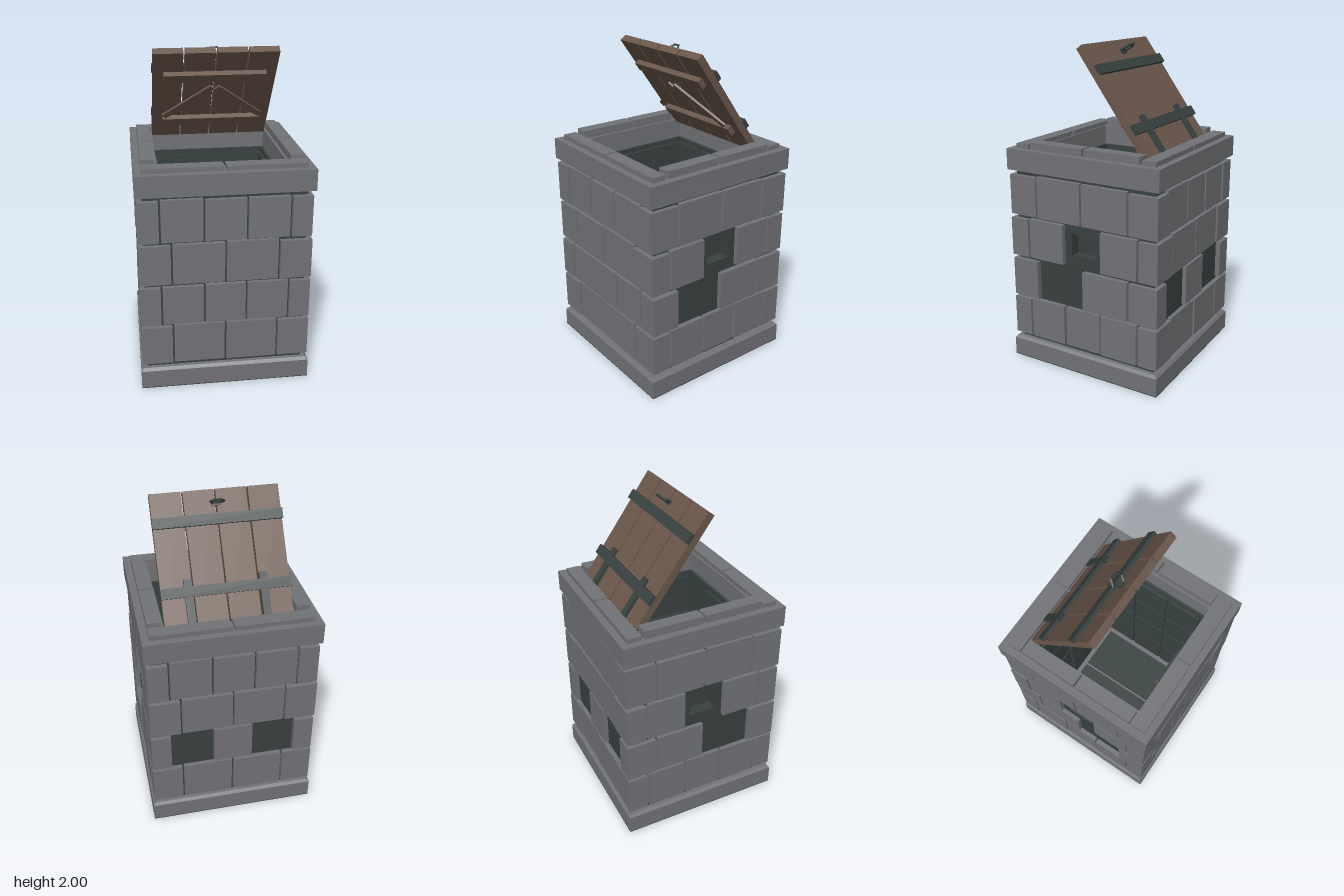
import * as THREE from 'three';

export function createModel() {
  const model = new THREE.Group();
  const material = (name, color) => {
    const m = new THREE.MeshStandardMaterial({ color, flatShading: true });
    m.name = name;
    return m;
  };
  const stone = material('grey stone', 0x727377);
  const dark = material('dark mortar and iron', 0x394141);
  const wood = material('brown wood', 0x6a574b);

  const add = (parent, name, geometry, mat) => {
    const mesh = new THREE.Mesh(geometry, mat);
    mesh.name = name;
    parent.add(mesh);
    return mesh;
  };
  // Box given by its limits on each axis
  const block = (parent, name, mat, [x0, x1], [y0, y1], [z0, z1]) => {
    const mesh = add(parent, name, new THREE.BoxGeometry(x1 - x0, y1 - y0, z1 - z0), mat);
    mesh.position.set((x0 + x1) / 2, (y0 + y1) / 2, (z0 + z1) / 2);
    return mesh;
  };
  // Square bar between two points
  const bar = (parent, name, mat, a, b, width, depth) => {
    const from = new THREE.Vector3(...a), to = new THREE.Vector3(...b);
    const mesh = add(parent, name, new THREE.BoxGeometry(width, depth, from.distanceTo(to)), mat);
    mesh.position.copy(from).add(to).multiplyScalar(0.5);
    const m = new THREE.Matrix4().lookAt(to, from, new THREE.Vector3(0, 1, 0));
    mesh.quaternion.setFromRotationMatrix(m);
    return mesh;
  };
  let seed = 7;
  const jitter = () => {
    seed = (seed * 16807) % 2147483647;
    return (seed / 2147483647 - 0.5) * 0.008;
  };

  // Base slab with chamfered top and dark underside
  block(model, 'underside', dark, [-0.52, 0.52], [0, 0.005], [-0.52, 0.52]);
  block(model, 'baseSlab', stone, [-0.52, 0.52], [0.005, 0.118], [-0.52, 0.52]);
  const chamfer = new THREE.CylinderGeometry(0.505 * Math.SQRT2, 0.52 * Math.SQRT2, 0.017, 4);
  chamfer.rotateY(Math.PI / 4);
  add(model, 'baseChamfer', chamfer, stone).position.y = 0.1265;

  // Mortar core: front and back walls, and side walls with a recessed niche
  const core = new THREE.Group();
  core.name = 'mortarCore';
  model.add(core);
  const coreY = [0.13, 1.255];
  for (const s of [-1, 1]) {
    block(core, 'endWall', dark, [-0.48, 0.48], coreY, s > 0 ? [0.36, 0.48] : [-0.48, -0.36]);
    block(core, 'sideWallInner', dark, s > 0 ? [0.36, 0.41] : [-0.41, -0.36], coreY, [-0.36, 0.36]);
    const face = new THREE.Shape([[-0.36, 0.13], [0.36, 0.13], [0.36, 1.255], [-0.36, 1.255]]
      .map(p => new THREE.Vector2(...p)));
    face.holes.push(new THREE.Path([[-0.085, 0.76], [-0.085, 0.9], [0.085, 0.9], [0.085, 0.76]]
      .map(p => new THREE.Vector2(...p))));
    const geo = new THREE.ExtrudeGeometry(face, { depth: 0.07, bevelEnabled: false });
    geo.rotateY(Math.PI / 2);
    add(core, 'sideWallWithNiche', geo, dark).position.x = s > 0 ? 0.41 : -0.48;
  }

  // Four courses of stones, alternating bond, with some stones missing
  const courses = [[0.165, 0.42], [0.432, 0.682], [0.7, 0.952], [0.968, 1.225]];
  const wide = [[-0.312, -0.006], [0.006, 0.312]];
  const narrow = [[-0.376, -0.132], [-0.12, 0.12], [0.132, 0.376]];
  const out = (s, inner, outer) => s > 0 ? [inner, outer] : [-outer, -inner];
  courses.forEach(([y0, y1], row) => {
    const even = row % 2 === 0;
    const endSpans = even ? wide : narrow;
    const sideSpans = even ? narrow : wide;
    for (const s of [-1, 1]) {
      endSpans.forEach((span, i) => {
        if (s < 0 && row === 1 && i !== 1) return;
        block(model, 'endStone', stone, span, [y0, y1 + jitter()], out(s, 0.45, 0.508 + jitter()));
      });
      sideSpans.forEach((span, i) => {
        if ((row === 2 && i === 1) || (row === 1 && i === 1)) return;
        block(model, 'sideStone', stone, out(s, 0.45, 0.508 + jitter()), [y0, y1 + jitter()], span);
      });
      for (const t of [-1, 1]) {
        const w = even ? 0.324 : 0.388, d = even ? 0.388 : 0.324;
        block(model, 'cornerStone', stone, out(s, w, 0.509 + jitter()), [y0, y1 - 0.006 + jitter()],
          out(t, d, 0.509 + jitter()));
      }
    }
  });

  // Inner lining bricks
  const lining = [[-0.34, -0.125], [-0.11, 0.11], [0.125, 0.34]];
  courses.forEach(([y0, y1], row) => lining.forEach((span, i) => {
    block(model, 'backLining', dark, span, [y0, y1], [-0.365, -0.342]);
    for (const s of [-1, 1]) block(model, 'sideLining', dark, out(s, 0.342, 0.365), [y0, y1], span);
    if (i === 1 || row < 2) {
      block(model, 'frontLining', i !== 1 && row === 1 ? stone : dark, span, [y0, y1], [0.342, 0.365]);
    }
  }));

  // Floor of two slabs, and two loose sticks
  for (const s of [-1, 1]) {
    block(model, 'floorSlab', dark, out(s, 0.008, 0.318), [0.13, 0.15], [-0.315, 0.315]);
    bar(model, 'looseStick', wood, [s * 0.235, 0.42, 0.33], [s * 0.12, 0.3, 0.235], 0.035, 0.025);
  }

  // Cap ring with a square opening
  const ring = new THREE.Shape([[-0.52, -0.52], [0.52, -0.52], [0.52, 0.52], [-0.52, 0.52]]
    .map(p => new THREE.Vector2(...p)));
  ring.holes.push(new THREE.Path([[-0.378, -0.378], [-0.378, 0.378], [0.378, 0.378], [0.378, -0.378]]
    .map(p => new THREE.Vector2(...p))));
  const capGeo = new THREE.ExtrudeGeometry(ring, { depth: 0.13, bevelEnabled: false });
  capGeo.rotateX(-Math.PI / 2);
  add(model, 'capRing', capGeo, stone).position.y = 1.25;

  // Raised coping stones around the opening
  for (const s of [-1, 1]) for (const t of [-1, 1]) {
    block(model, 'endCoping', stone, out(s, 0.008, 0.476), [1.375, 1.408], out(t, 0.39, 0.477));
    block(model, 'sideCoping', stone, out(s, 0.394, 0.476), [1.375, s < 0 ? 1.43 : 1.424], out(t, 0.008, 0.374));
  }

  // Open lid, hinged at the back; local +z is the inner side
  const lid = new THREE.Group();
  lid.name = 'lid';
  lid.position.set(0, 1.395, -0.38);
  lid.rotation.x = 0.628;
  model.add(lid);
  for (let i = 0; i < 4; i++) {
    const x = -0.375 + i * 0.19;
    block(lid, 'plank', wood, [x, x + 0.18], [0, 0.748], [0, 0.046]);
  }
  for (const y of [0.17, 0.567]) {
    block(lid, 'innerBatten', wood, [-0.31, 0.31], [y - 0.03, y + 0.03], [0.044, 0.08]);
  }
  for (const y of [0.18, 0.575]) {
    block(lid, 'ironBand', dark, [-0.378, 0.378], [y - 0.03, y + 0.03], [-0.022, 0.002]);
  }
  for (const s of [-1, 1]) {
    bar(lid, 'diagonalBrace', wood, [s * 0.305, 0.235, 0.082], [s * 0.015, 0.495, 0.082], 0.014, 0.038);
    block(lid, 'hingeStrap', dark, out(s, 0.195, 0.242), [-0.005, 0.25], [-0.018, 0.002]);
  }
  // Hexagonal pull ring
  block(lid, 'ringMount', dark, [-0.025, 0.025], [0.652, 0.682], [-0.012, 0.002]);
  const pull = add(lid, 'pullRing', new THREE.TorusGeometry(0.04, 0.008, 4, 6), dark);
  pull.rotation.x = Math.PI / 2;
  pull.position.set(0, 0.667, -0.045);

  return model;
}
